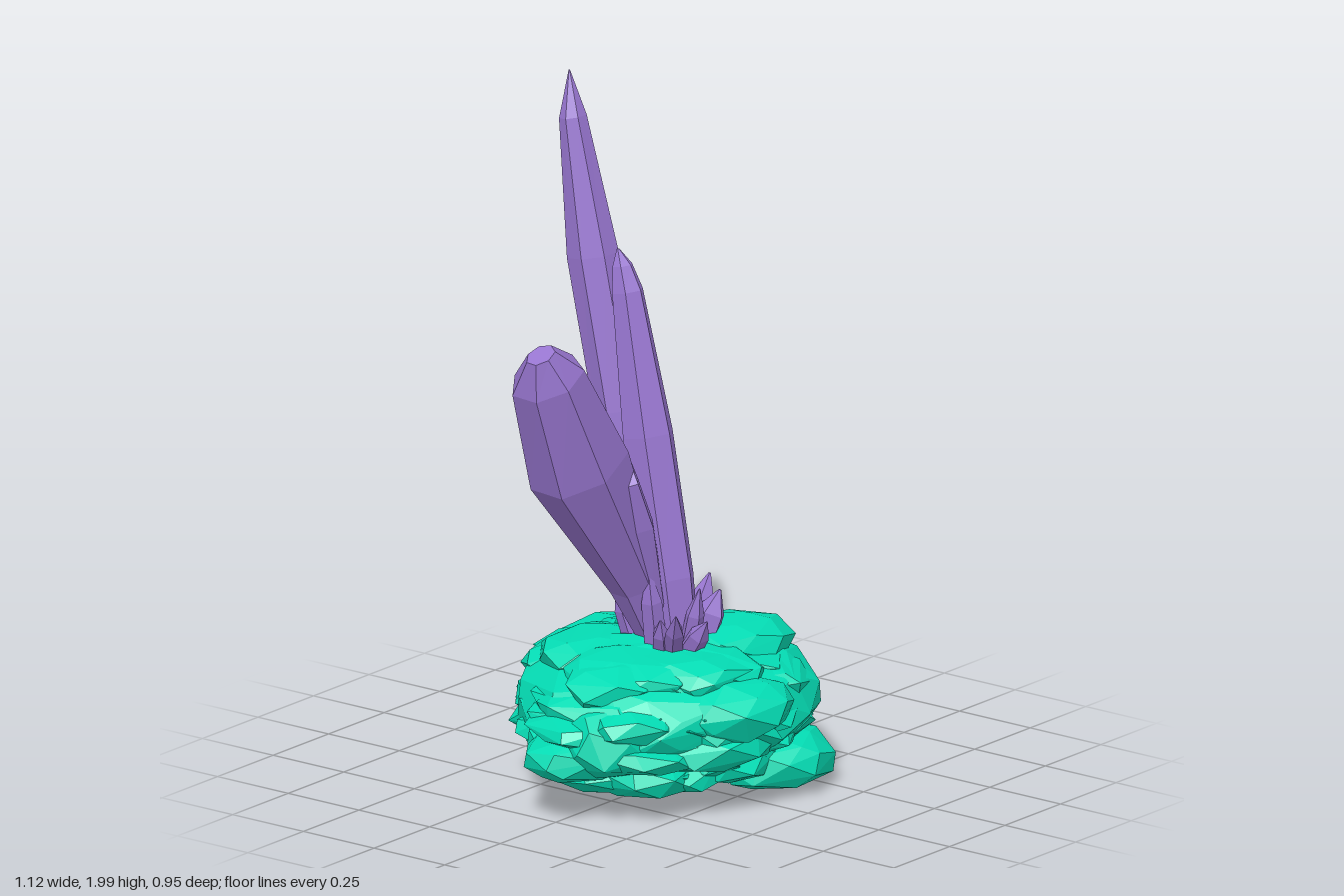
import * as THREE from 'three';
import { ConvexGeometry } from 'three/addons/geometries/ConvexGeometry.js';

let seed = 7;
const rand = () => {
  seed = (seed * 16807) % 2147483647;
  return seed / 2147483647;
};
const spread = (a) => (rand() * 2 - 1) * a;

const rockMat = new THREE.MeshStandardMaterial({ color: 0x04dcb4, flatShading: true });
const crystalMat = new THREE.MeshStandardMaterial({ color: 0x9876d0, flatShading: true });

// Faceted convex stone: jittered points on a blocky unit sphere, stretched to half sizes
function stone(name, pos, size, turn = 0, tilt = 0, count = 34, rough = 0.09) {
  const pts = [];
  for (let i = 0; i < count; i++) {
    const y = 1 - (2 * (i + 0.5)) / count;
    const r = Math.sqrt(1 - y * y);
    const a = i * 2.39996 + spread(0.3);
    const k = 1.03 - rand() * rough;
    const flatY = Math.sign(y) * Math.abs(y) ** 0.75;
    pts.push(new THREE.Vector3(Math.cos(a) * r * k * size[0], flatY * k * size[1], Math.sin(a) * r * k * size[2]));
  }
  const mesh = new THREE.Mesh(new ConvexGeometry(pts), rockMat);
  mesh.name = name;
  mesh.position.set(...pos);
  mesh.rotation.set(0, turn, tilt);
  return mesh;
}

// Crystal lofted through rings [x, y, z, radius across, radius deep], square to its axis
function crystal(name, rings, sides = 6, phase = 0.3) {
  const first = new THREE.Vector3(...rings[0].slice(0, 3));
  const last = new THREE.Vector3(...rings[rings.length - 1].slice(0, 3));
  const d = last.sub(first).normalize();
  const u = new THREE.Vector3(1, 0, 0).addScaledVector(d, -d.x).normalize();
  const v = new THREE.Vector3().crossVectors(u, d);
  const pos = [];
  const index = [];
  rings.forEach(([x, y, z, ra, rb]) => {
    for (let i = 0; i < sides; i++) {
      const a = (i / sides) * Math.PI * 2 + phase;
      const p = new THREE.Vector3(x, y, z).addScaledVector(u, Math.cos(a) * ra).addScaledVector(v, Math.sin(a) * rb);
      pos.push(p.x, p.y, p.z);
    }
  });
  for (let j = 0; j < rings.length - 1; j++) {
    for (let i = 0; i < sides; i++) {
      const a = j * sides + i;
      const b = j * sides + ((i + 1) % sides);
      index.push(a, a + sides, b, b, a + sides, b + sides);
    }
  }
  // Close both ends
  const top = (rings.length - 1) * sides;
  for (let i = 1; i < sides - 1; i++) {
    index.push(0, i, i + 1, top, top + i + 1, top + i);
  }
  const indexed = new THREE.BufferGeometry();
  indexed.setAttribute('position', new THREE.Float32BufferAttribute(pos, 3));
  indexed.setIndex(index);
  const geo = indexed.toNonIndexed();
  geo.computeVertexNormals();
  const mesh = new THREE.Mesh(geo, crystalMat);
  mesh.name = name;
  return mesh;
}

// Plan outline of the rock (x, z)
const outline = [
  [0.56, -0.12], [0.5, 0.0], [0.38, 0.14], [0.32, 0.28], [0.21, 0.4], [0.06, 0.44],
  [-0.07, 0.47], [-0.2, 0.42], [-0.32, 0.32], [-0.5, 0.2], [-0.55, 0.02], [-0.49, -0.12],
  [-0.39, -0.23], [-0.27, -0.38], [-0.1, -0.46], [0.1, -0.49], [0.26, -0.47], [0.35, -0.41],
  [0.43, -0.35], [0.49, -0.27], [0.54, -0.19],
];

function rockBase() {
  const g = new THREE.Group();
  g.name = 'rockBase';
  g.add(stone('rockCore', [0, 0.25, 0], [0.46, 0.18, 0.41], 0, 0, 90, 0.08));

  // Stacked tiers of slabs following the outline
  const tiers = [
    { y: 0.115, k: 0.86, h: 0.055, lean: 0.12 },
    { y: 0.19, k: 0.98, h: 0.06, lean: 0.06 },
    { y: 0.26, k: 0.99, h: 0.055, lean: 0 },
    { y: 0.32, k: 0.97, h: 0.055, lean: -0.1 },
    { y: 0.37, k: 0.8, h: 0.05, lean: -0.17 },
  ];
  tiers.forEach(({ y, k, h, lean }) => {
    outline.forEach(([x, z]) => {
      const r = Math.hypot(x, z);
      const depth = 0.15 + rand() * 0.06;
      // Upper slabs step in along the x direction
      const inset = y > 0.3 ? 0.08 * (x / r) ** 2 : 0;
      const s = (r * (k - inset - rand() * 0.05) - depth) / r;
      g.add(stone('rockSlab', [x * s, y + spread(0.02), z * s],
        [depth, h * (0.75 + rand() * 0.4), 0.12 + rand() * 0.08],
        -Math.atan2(z, x) + spread(0.3), lean + spread(0.1), 24, 0.12));
    });
  });

  // Broad stones on the crown
  [
    [0.17, 0.39, 0.1, 0.2, 0.075, 0.16], [0.17, 0.38, -0.12, 0.19, 0.08, 0.18],
    [-0.08, 0.37, -0.18, 0.22, 0.065, 0.16], [-0.2, 0.36, 0.02, 0.24, 0.065, 0.16],
    [-0.08, 0.37, 0.17, 0.18, 0.065, 0.18], [0.0, 0.38, 0.0, 0.2, 0.065, 0.18],
  ].forEach(([x, y, z, a, b, c]) => g.add(stone('crownStone', [x, y, z], [a, b, c], spread(0.3), spread(0.06))));

  // Boulders that stick out at the rim and underneath
  [
    [0.16, 0.09, 0.24, 0.19, 0.085, 0.19], [-0.08, 0.3, 0.28, 0.18, 0.09, 0.2],
    [-0.34, 0.23, 0.08, 0.18, 0.11, 0.15], [-0.38, 0.18, -0.01, 0.18, 0.07, 0.15],
    [0.4, 0.21, -0.13, 0.165, 0.07, 0.17], [0.15, 0.29, -0.33, 0.22, 0.09, 0.15],
    [0.12, 0.1, 0.08, 0.24, 0.06, 0.2], [-0.15, 0.11, 0.05, 0.24, 0.06, 0.22],
    [0.05, 0.12, -0.18, 0.28, 0.06, 0.21],
  ].forEach(([x, y, z, a, b, c]) => g.add(stone('boulder', [x, y, z], [a, b, c])));
  return g;
}

function crystalCluster() {
  const g = new THREE.Group();
  g.name = 'crystalCluster';
  g.add(crystal('tallCrystal', [
    [0.04, 0.36, -0.06, 0.06, 0.065], [0.04, 0.6, -0.105, 0.072, 0.072], [0.036, 1.05, -0.19, 0.079, 0.077],
    [0.03, 1.48, -0.285, 0.068, 0.079], [0.028, 1.87, -0.353, 0.042, 0.039], [0.032, 2.0, -0.37, 0.002, 0.002],
  ], 7));
  g.add(crystal('middleCrystal', [
    [0.0, 0.36, 0.04, 0.065, 0.07], [0.0, 0.6, 0.005, 0.074, 0.08], [0.01, 1.0, -0.075, 0.074, 0.077],
    [0.02, 1.4, -0.155, 0.046, 0.047], [0.022, 1.47, -0.175, 0.03, 0.03], [0.022, 1.515, -0.19, 0.004, 0.004],
  ], 6, 0.5));
  g.add(crystal('wideCrystal', [
    [-0.02, 0.44, -0.03, 0.05, 0.05], [-0.075, 0.6, -0.05, 0.08, 0.08], [-0.265, 0.975, -0.105, 0.155, 0.145],
    [-0.405, 1.26, -0.105, 0.108, 0.11], [-0.46, 1.345, -0.085, 0.045, 0.042],
  ], 7, 0.15));
  g.add(crystal('sideCrystal', [
    [-0.05, 0.5, 0.0, 0.035, 0.035], [-0.13, 0.78, 0.005, 0.046, 0.05],
    [-0.18, 0.92, -0.01, 0.044, 0.05], [-0.165, 1.005, -0.03, 0.014, 0.014],
  ], 5));

  // Small shards around the foot: foot x, z, tip x, y, z, radius
  [
    [-0.06, 0.07, -0.15, 0.55, 0.15, 0.03], [-0.04, 0.1, -0.06, 0.52, 0.19, 0.034],
    [-0.02, 0.09, -0.03, 0.6, 0.14, 0.03], [0.05, 0.07, 0.1, 0.56, 0.11, 0.048],
    [0.07, 0.03, 0.13, 0.59, 0.05, 0.045], [0.09, -0.04, 0.12, 0.62, -0.02, 0.034],
    [0.11, -0.11, 0.14, 0.66, -0.17, 0.026], [0.12, -0.12, 0.15, 0.59, -0.19, 0.024],
    [0.06, -0.12, 0.07, 0.57, -0.18, 0.03], [-0.03, -0.09, -0.06, 0.56, -0.13, 0.03],
    [-0.07, 0.02, -0.11, 0.66, 0.02, 0.034], [-0.07, 0.04, -0.13, 0.52, 0.08, 0.03],
  ].forEach(([x, z, tx, ty, tz, r], i) => {
    const at = (t, k) => [x + (tx - x) * t, 0.4 + (ty - 0.4) * t, z + (tz - z) * t, r * k, r * k];
    g.add(crystal('shard', [at(0, 1), at(0.6, 0.9), at(1, 0.08)], 5, i));
  });

  // Root tip poking out below the rock
  g.add(crystal('rootTip', [[-0.05, 0.02, 0.06, 0.002, 0.002], [-0.05, 0.15, 0.05, 0.02, 0.02]], 5));
  return g;
}

export function createModel() {
  const model = new THREE.Group();
  model.name = 'crystalRock';
  model.add(rockBase(), crystalCluster());
  return model;
}
